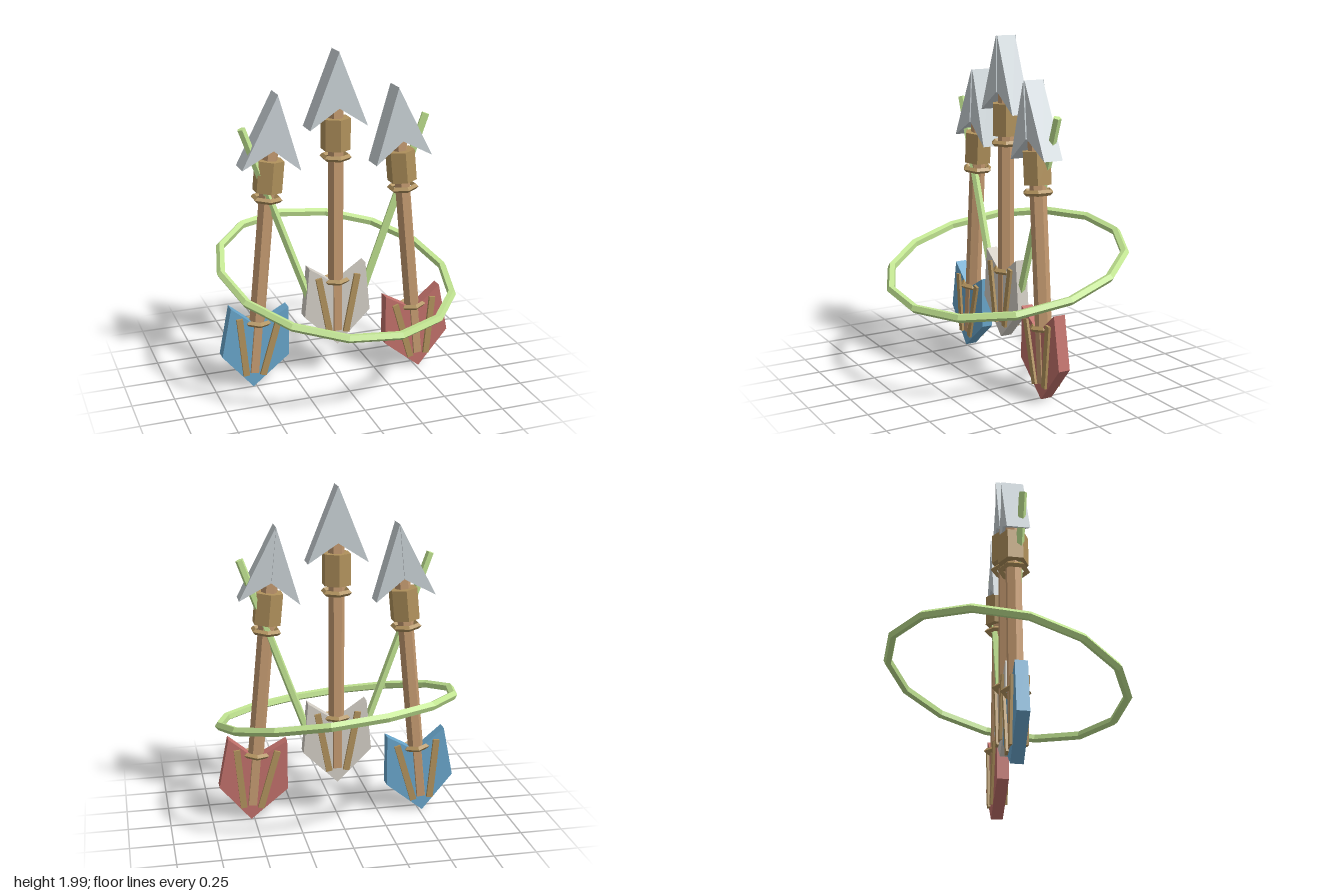
import * as THREE from 'three';

const mat = (color) => new THREE.MeshStandardMaterial({ color, flatShading: true });
const wood = mat(0xc49a70), binding = mat(0xb0915c), steel = mat(0xc8d0d4), vine = mat(0xc2e592);

function add(parent, name, geometry, material, x = 0, y = 0, z = 0) {
  const mesh = new THREE.Mesh(geometry, material);
  mesh.name = name;
  mesh.position.set(x, y, z);
  parent.add(mesh);
  return mesh;
}

// Flat outline given thickness, centred on z = 0
function plate(points, thickness) {
  const shape = new THREE.Shape(points.map(([x, y]) => new THREE.Vector2(x, y)));
  const g = new THREE.ExtrudeGeometry(shape, { depth: thickness, bevelEnabled: false });
  return g.translate(0, 0, -thickness / 2);
}

// Six-sided rod with corners towards +-z, or towards +-x when turned
function hexRod(radius, height, turned = false) {
  const g = new THREE.CylinderGeometry(radius, radius, height, 6);
  return turned ? g.rotateY(Math.PI / 6) : g;
}

// Faceted band around the shaft
function band(radius) {
  return new THREE.TorusGeometry(radius, 0.017, 4, 6).rotateX(Math.PI / 2).rotateY(Math.PI / 6);
}

// Rod between two points
function rodBetween(parent, name, a, b, radius, material) {
  const dir = b.clone().sub(a);
  const rod = add(parent, name, new THREE.CylinderGeometry(radius, radius, dir.length(), 5), material);
  rod.position.copy(a).add(b).multiplyScalar(0.5);
  rod.quaternion.setFromUnitVectors(new THREE.Vector3(0, 1, 0), dir.normalize());
}

// One arrow, its fletching tip at the origin
function arrow(name, fletchColor) {
  const g = new THREE.Group();
  g.name = name;
  add(g, 'shaft', hexRod(0.047, 1.42, true), wood, 0, 0.8);
  add(g, 'collar', hexRod(0.087, 0.185), binding, 0, 1.303);
  add(g, 'upperBand', band(0.077), binding, 0, 1.167);
  add(g, 'lowerBand', band(0.068), binding, 0, 0.408);

  // Two head blades, the left one slightly thinner
  add(g, 'rightBlade', plate([[0, 1.78], [-0.175, 1.345], [0, 1.46]], 0.132), steel);
  add(g, 'leftBlade', plate([[0, 1.78], [0, 1.46], [0.175, 1.345]], 0.116), steel);

  // Fletching with raised ribs
  add(g, 'fletching', plate([
    [0, 0], [0.205, 0.2], [0.175, 0.505], [0, 0.385], [-0.175, 0.505], [-0.205, 0.2],
  ], 0.07), mat(fletchColor));
  for (const s of [-1, 1]) {
    const rib = add(g, 'fletchingRib', new THREE.BoxGeometry(0.038, 0.37, 0.1), binding, s * 0.086, 0.26);
    rib.rotation.z = -s * 0.19;
  }
  return g;
}

export function createModel() {
  const model = new THREE.Group();
  model.name = 'arrowBundle';

  const middle = arrow('middleArrow', 0xd2cdc4);
  middle.position.set(0, 0.22, 0);
  model.add(middle);

  // Side arrows lean in towards the middle
  for (const [s, name, color] of [[1, 'leftArrow', 0xc0706a], [-1, 'rightArrow', 0x68a5ca]]) {
    const side = arrow(name, color);
    side.position.set(s * 0.52, 0.008, s * 0.034);
    side.rotation.set(-s * 0.005, 0, s * 0.096);
    model.add(side);
    rodBetween(model, 'vineStem', new THREE.Vector3(s * 0.555, 1.595, 0),
      new THREE.Vector3(s * 0.14, 0.45, 0), 0.024, vine);
  }

  // Tilted hoop around the arrows
  const hoop = add(model, 'vineHoop',
    new THREE.TorusGeometry(0.7, 0.026, 5, 14).rotateX(Math.PI / 2), vine, 0, 0.688, 0);
  hoop.quaternion.setFromUnitVectors(new THREE.Vector3(0, 1, 0),
    new THREE.Vector3(0.1, 1, 0.217).normalize());

  return model;
}
